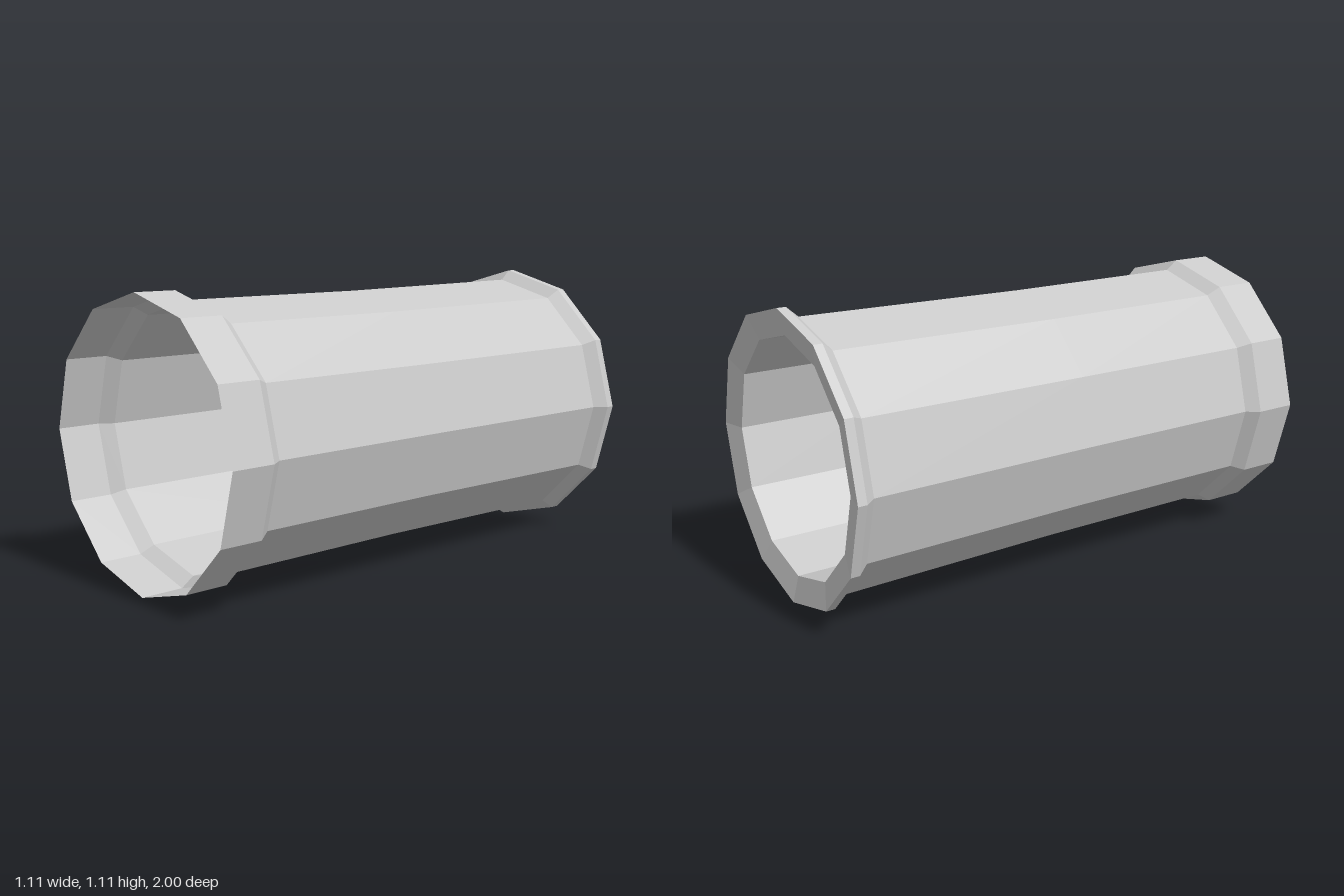
import * as THREE from 'three';

const SIDES = 12;
const AXIS_HEIGHT = 0.555;

export function createModel() {
  const model = new THREE.Group();
  model.name = 'flangedTube';

  const material = new THREE.MeshStandardMaterial({
    color: 0xcccccc, flatShading: true, side: THREE.DoubleSide,
  });

  // Turns a [radius, z] profile around the horizontal axis
  function addTurned(name, profile) {
    const points = profile.map(([r, z]) => new THREE.Vector2(r, z));
    const geometry = new THREE.LatheGeometry(points, SIDES);
    geometry.rotateX(Math.PI / 2);
    const mesh = new THREE.Mesh(geometry, material);
    mesh.name = name;
    mesh.position.y = AXIS_HEIGHT;
    model.add(mesh);
  }

  // Flared flange at the back end
  addTurned('backFlange', [[0.555, -1], [0.555, -0.965], [0.515, -0.92]]);

  // Long barrel, straight in front and widening slightly to the back
  addTurned('barrel', [[0.515, -0.92], [0.503, 0], [0.503, 0.78]]);

  // Wider open collar at the front end
  addTurned('frontCollar', [[0.503, 0.78], [0.539, 0.83], [0.539, 1]]);

  // Shallow bevel leading into the back bore
  addTurned('backBevel', [[0.455, -0.975], [0.555, -1]]);

  // Blind bore closed by a flat disc inside the barrel
  addTurned('backBore', [[0, -0.39], [0.455, -0.39], [0.455, -0.975]]);

  return model;
}
